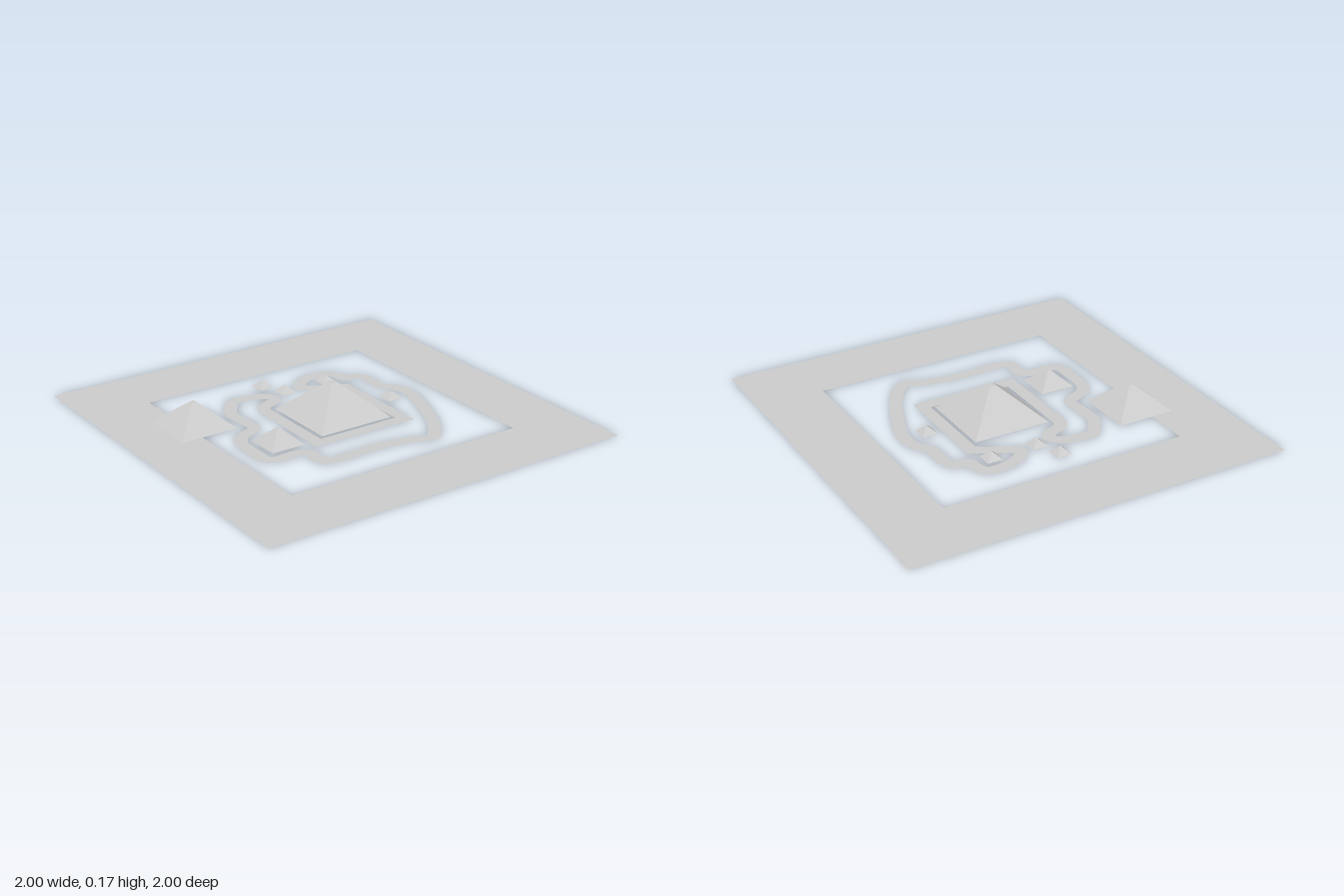
import * as THREE from 'three';

const stone = new THREE.MeshStandardMaterial({ color: 0xcccccc, side: THREE.DoubleSide });
stone.name = 'grey stone';

// Square pyramid with a tiny flat top
function pyramid(name, x, z, half, height, topHalf) {
  const geo = new THREE.CylinderGeometry(topHalf * Math.SQRT2, half * Math.SQRT2, height, 4, 1)
    .rotateY(Math.PI / 4).toNonIndexed();
  geo.computeVertexNormals();
  const mesh = new THREE.Mesh(geo, stone);
  mesh.name = name;
  mesh.position.set(x, height / 2 + 0.003, z);
  return mesh;
}

// Flat closed ribbon with mitred joins along a loop of Vector2 (x, z)
function ribbon(points, halfWidth) {
  const pos = [], idx = [], n = points.length;
  points.forEach((p, i) => {
    const a = p.clone().sub(points[(i + n - 1) % n]).normalize();
    const b = points[(i + 1) % n].clone().sub(p).normalize();
    const miter = new THREE.Vector2(-a.y - b.y, a.x + b.x).normalize();
    const k = halfWidth / Math.max(0.5, miter.dot(new THREE.Vector2(-a.y, a.x)));
    for (const s of [1, -1]) pos.push(p.x + miter.x * k * s, 0, p.y + miter.y * k * s);
    const j = (i + 1) % n;
    idx.push(2 * i, 2 * i + 1, 2 * j, 2 * i + 1, 2 * j + 1, 2 * j);
  });
  const geo = new THREE.BufferGeometry();
  geo.setAttribute('position', new THREE.Float32BufferAttribute(pos, 3));
  // Make the ribbon face upwards
  const up = new THREE.Vector3(), v = idx.slice(0, 3).map(i => new THREE.Vector3().fromArray(pos, i * 3));
  new THREE.Triangle(...v).getNormal(up);
  if (up.y < 0) idx.reverse();
  geo.setIndex(idx);
  geo.computeVertexNormals();
  return geo;
}

export function createModel() {
  const model = new THREE.Group();
  model.name = 'pyramidSite';

  // Flat square border with a square opening
  const square = (Type, h) => new Type([[-h, -h], [h, -h], [h, h], [-h, h]].map(p => new THREE.Vector2(...p)));
  const border = square(THREE.Shape, 1);
  border.holes.push(square(THREE.Path, 0.645));
  const ground = new THREE.Mesh(new THREE.ShapeGeometry(border).rotateX(-Math.PI / 2), stone);
  ground.name = 'groundBorder';
  model.add(ground);

  // Winding path, from the left arm round the site to the right arm
  const winding = [
    [-.225, -.23], [-.2, -.268], [-.15, -.292], [-.107, -.315], [-.1, -.35], [-.135, -.388],
    [-.193, -.407], [-.295, -.412], [-.343, -.356], [-.383, -.284], [-.383, -.182], [-.378, -.083],
    [-.4, -.06], [-.487, -.021], [-.53, .043], [-.535, .166], [-.53, .265], [-.493, .29],
    [-.364, .29], [-.327, .32], [-.327, .42], [-.29, .443], [-.13, .443], [.005, .443],
    [.15, .468], [.252, .502], [.29, .48], [.375, .36], [.45, .193], [.498, .06],
    [.508, -.03], [.493, -.1], [.447, -.16], [.444, -.235], [.444, -.3], [.418, -.343],
    [.353, -.353], [.343, -.407], [.316, -.46], [.225, -.466], [.134, -.434], [.09, -.38],
    [.134, -.337], [.22, -.297], [.286, -.257],
  ];
  const curve = new THREE.CatmullRomCurve3(winding.map(([x, z]) => new THREE.Vector3(x, 0, z)));
  const loop = curve.getPoints((winding.length - 1) * 5).map(p => new THREE.Vector2(p.x, p.z));
  // Square corners of the inner court
  loop.push(new THREE.Vector2(.286, .249), new THREE.Vector2(-.225, .249));
  const path = new THREE.Mesh(ribbon(loop, 0.033), stone);
  path.name = 'windingPath';
  model.add(path);

  // Pyramids
  model.add(
    pyramid('greatPyramid', .032, -.004, .205, .166, .017),
    pyramid('secondPyramid', -.607, -.268, .152, .123, .013),
    pyramid('thirdPyramid', -.386, .14, .09, .076, .008),
  );
  [[-.064, -.491], [-.006, -.37], [.244, -.372], [.391, -.001]].forEach(([x, z], i) =>
    model.add(pyramid(`smallPyramid${i + 1}`, x, z, .041, .033, .004)));

  return model;
}
